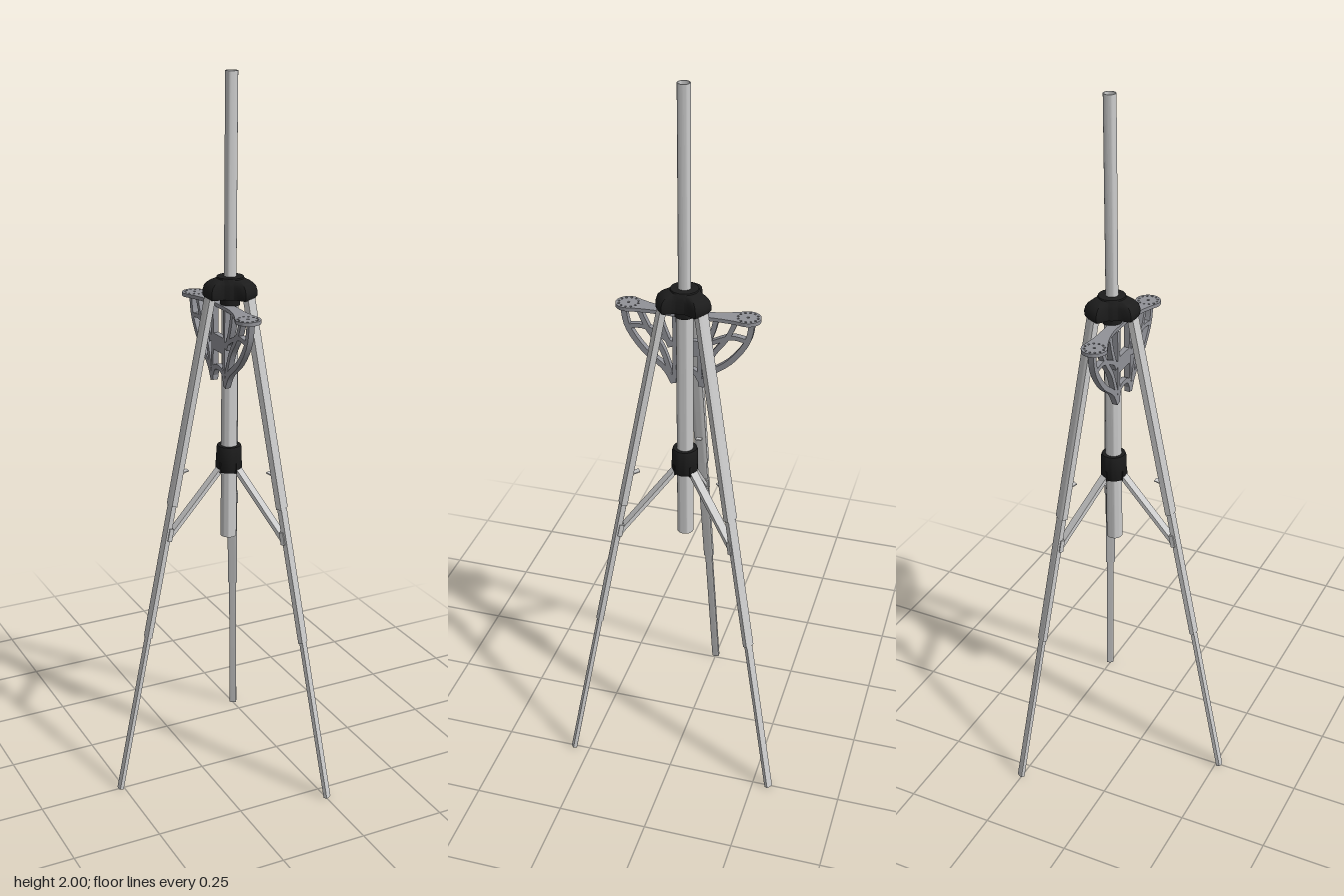
import * as THREE from 'three';
import { toCreasedNormals } from 'three/addons/utils/BufferGeometryUtils.js';

const grey = new THREE.MeshStandardMaterial({ color: 0xcccccc });
const darkGrey = new THREE.MeshStandardMaterial({ color: 0x919298 });
const black = new THREE.MeshStandardMaterial({ color: 0x1c1c1c });
const AXIS = 0.082;
const ARMS = [Math.PI, Math.PI / 3, -Math.PI / 3];

function add(parent, name, geometry, material, x = 0, y = 0, z = 0) {
  const mesh = new THREE.Mesh(geometry, material);
  mesh.name = name;
  mesh.position.set(x, y, z);
  parent.add(mesh);
  return mesh;
}

// Upright turned part from [radius, height] pairs
function turned(points) {
  const profile = points.map(([r, y]) => new THREE.Vector2(r, y));
  return toCreasedNormals(new THREE.LatheGeometry(profile, 32), 0.6);
}

// Place a y-aligned geometry between two points of the radial plane
function between(parent, name, a, b, makeGeometry, material) {
  const dx = b[0] - a[0], dy = b[1] - a[1];
  const mesh = add(parent, name, makeGeometry(Math.hypot(dx, dy)), material, (a[0] + b[0]) / 2, (a[1] + b[1]) / 2);
  mesh.rotation.z = -Math.atan2(dx, dy);
}

// Leg tube: flat sides, gently bowed inner and outer faces
const legTube = (w, d) => (len) => {
  const s = new THREE.Shape();
  s.moveTo(-0.7 * d, -w);
  s.lineTo(0.7 * d, -w);
  s.quadraticCurveTo(1.3 * d, 0, 0.7 * d, w);
  s.lineTo(-0.7 * d, w);
  s.quadraticCurveTo(-1.3 * d, 0, -0.7 * d, -w);
  const geo = new THREE.ExtrudeGeometry(s, { depth: len, bevelEnabled: false, curveSegments: 6 });
  return toCreasedNormals(geo.translate(0, 0, -len / 2).rotateX(-Math.PI / 2), 0.5);
};

// One telescopic leg with its brace, pointing along local +x
function makeLeg() {
  const leg = new THREE.Group();
  const at = (y, inset = 0) => [0.057 + 0.286 * (1.435 - y) / 1.435 - inset, y];
  between(leg, 'upperLeg', at(0.855), at(1.435), legTube(0.017, 0.0115), grey);
  between(leg, 'middleLeg', at(0.47), at(0.9), legTube(0.0135, 0.0095), grey);
  between(leg, 'lowerLeg', at(0.002), at(0.52), legTube(0.0102, 0.0075), grey);
  // Brace, its hinge and the locking tab
  between(leg, 'brace', [0.026, 0.94], at(0.762, 0.006),
    (len) => new THREE.BoxGeometry(0.011, len, 0.024), grey);
  between(leg, 'braceHinge', at(0.755, 0.005), at(0.79, 0.005), (len) => new THREE.BoxGeometry(0.012, len, 0.034), grey);
  between(leg, 'lockTab', at(0.943, 0), at(0.95, 0.028), (len) => new THREE.BoxGeometry(0.003, len, 0.016), grey);
  return leg;
}

// Domed hub: a turned profile whose rim is reshaped into three arms
function makeHubGeometry() {
  const inner = 0.037, outer = 0.073;
  const profile = [[0, 1.418], [0.037, 1.418], [0.068, 1.42], [0.073, 1.427], [0.073, 1.44], [0.069, 1.453],
    [0.06, 1.462], [0.05, 1.468], [0.037, 1.471], [0.036, 1.475], [0, 1.476]];
  const geo = new THREE.LatheGeometry(profile.map(([r, y]) => new THREE.Vector2(r, y)), 96);
  const pos = geo.attributes.position;
  const third = Math.PI * 2 / 3;
  for (let i = 0; i < pos.count; i++) {
    const x = pos.getX(i), z = pos.getZ(i), r = Math.hypot(x, z);
    if (r <= inner) continue;
    // Angle from the nearest arm's centre line
    const a = Math.atan2(z, x) - Math.PI / 3;
    const off = Math.abs(a - third * Math.round(a / third));
    const rim = Math.max(0.043, Math.min(outer, 0.029 / Math.sin(Math.max(off, 0.01))));
    const k = (inner + (r - inner) * (rim - inner) / (outer - inner)) / r;
    pos.setX(i, x * k);
    pos.setZ(i, z * k);
  }
  return toCreasedNormals(geo, 0.7);
}

// Dumbbell plate with a ring of holes in each round end
function makePlateGeometry() {
  const s = new THREE.Shape();
  const cx = 0.0535, cz = 0.158, r = 0.034, t = 0.28;
  const ex = r * Math.cos(t), ez = cz - r * Math.sin(t);
  s.moveTo(0.052, -0.04);
  s.lineTo(0.052, 0.04);
  s.quadraticCurveTo(0.05, 0.09, cx - ex, ez);
  s.absarc(cx, cz, r, Math.PI + t, -t, true);
  s.quadraticCurveTo(0.078, 0.11, 0.082, 0.04);
  s.lineTo(0.082, -0.04);
  s.quadraticCurveTo(0.078, -0.11, cx + ex, -ez);
  s.absarc(cx, -cz, r, t, -Math.PI - t, true);
  s.quadraticCurveTo(0.05, -0.09, 0.052, -0.04);
  const hole = (x, y, rad) => s.holes.push(new THREE.Path().absarc(x, y, rad, 0, Math.PI * 2, false));
  for (const side of [1, -1]) {
    hole(cx, side * cz, 0.0035);
    for (let i = 0; i < 12; i++) {
      const a = i * Math.PI / 6 + Math.PI / 2;
      hole(cx + 0.026 * Math.cos(a), side * cz + 0.026 * Math.sin(a), 0.003);
    }
  }
  const geo = new THREE.ExtrudeGeometry(s, { depth: 0.01, bevelEnabled: false, curveSegments: 16 });
  return toCreasedNormals(geo.rotateX(Math.PI / 2), 0.5);
}

// Curved rib of constant width in the z-y plane, extruded along x
function makeRib(points, width, depth) {
  const curve = new THREE.CatmullRomCurve3(points.map(([z, y]) => new THREE.Vector3(z, y, 0)));
  const left = [], right = [];
  for (let i = 0; i <= 14; i++) {
    const c = curve.getPoint(i / 14), d = curve.getTangent(i / 14);
    left.push(new THREE.Vector2(c.x - d.y * width / 2, c.y + d.x * width / 2));
    right.unshift(new THREE.Vector2(c.x + d.y * width / 2, c.y - d.x * width / 2));
  }
  const geo = new THREE.ExtrudeGeometry(new THREE.Shape([...left, ...right]), { depth, bevelEnabled: false });
  return toCreasedNormals(geo.rotateY(-Math.PI / 2), 0.5);
}

export function createModel() {
  const model = new THREE.Group();
  model.name = 'tripodStand';

  // Centre column with an open-topped mast
  add(model, 'mast', turned([[0.0165, 1.4], [0.0165, 2], [0.014, 2], [0.014, 1.4]]), grey, AXIS);
  add(model, 'columnTube', turned([[0, 0.735], [0.022, 0.735], [0.022, 1.42], [0, 1.42]]), grey, AXIS);

  // Hub and sliding collar
  add(model, 'hub', makeHubGeometry(), black, AXIS);
  add(model, 'hubNeck', turned([[0, 1.398], [0.026, 1.398], [0.028, 1.43], [0, 1.43]]), black, AXIS);
  add(model, 'collar', turned([[0, 0.93], [0.032, 0.93], [0.035, 0.94], [0.035, 0.995], [0.032, 1.004], [0, 1.004]]), black, AXIS);

  // Legs and the collar lugs that hold their braces
  for (const angle of ARMS) {
    const leg = makeLeg();
    leg.name = 'leg';
    leg.position.x = AXIS;
    leg.rotation.y = angle;
    add(leg, 'collarLug', new THREE.BoxGeometry(0.016, 0.03, 0.028), black, 0.026, 0.944);
    model.add(leg);
  }

  // Mounting bracket: perforated plate on curved ribs
  const bracket = new THREE.Group();
  bracket.name = 'bracket';
  model.add(bracket);
  add(bracket, 'plate', makePlateGeometry(), darkGrey, 0, 1.4);
  const ribs = [
    [[[0.171, 1.392], [0.16, 1.335], [0.115, 1.27], [0.06, 1.225], [0.037, 1.185]], 0.015],
    [[[0.131, 1.392], [0.105, 1.335], [0.07, 1.285], [0.045, 1.215]], 0.013],
    [[[0.078, 1.392], [0.068, 1.35], [0.045, 1.29]], 0.013],
    [[[0.16, 1.335], [0.12, 1.34], [0.08, 1.325], [0.03, 1.295]], 0.012],
    [[[0.035, 1.392], [0.033, 1.3], [0.035, 1.185]], 0.01],
  ];
  const addRib = (name, points, width) => add(bracket, name, makeRib(points, width, 0.016), darkGrey, 0.063);
  for (const side of [1, -1]) {
    for (const [points, width] of ribs) addRib('rib', points.map(([z, y]) => [z * side, y]), width);
  }
  addRib('lowerArch', [[-0.037, 1.2], [-0.02, 1.225], [0.02, 1.225], [0.037, 1.2]], 0.014);
  add(bracket, 'clamp', new THREE.BoxGeometry(0.016, 0.045, 0.076), darkGrey, 0.055, 1.295);

  return model;
}
